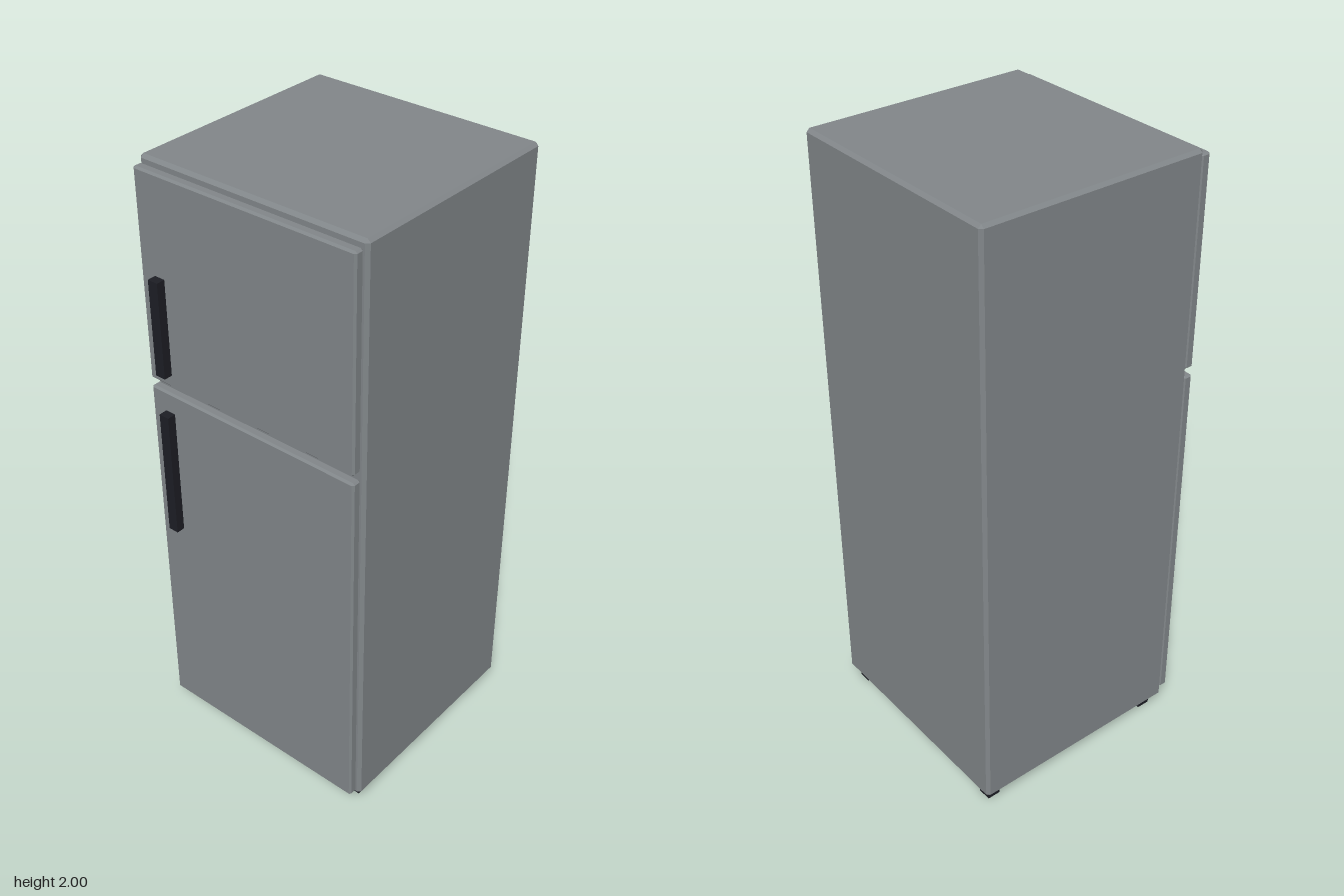
import * as THREE from 'three';
import { ConvexGeometry } from 'three/addons/geometries/ConvexGeometry.js';

// Box with 45 degree bevelled edges: each corner becomes three points
function bevelledBox(w, h, d, b) {
  const pts = [];
  for (const x of [-1, 1]) for (const y of [-1, 1]) for (const z of [-1, 1]) {
    for (let axis = 0; axis < 3; axis++) {
      const inset = [b, b, b];
      inset[axis] = 0;
      pts.push(new THREE.Vector3(
        x * (w / 2 - inset[0]), y * (h / 2 - inset[1]), z * (d / 2 - inset[2])));
    }
  }
  return new ConvexGeometry(pts);
}

export function createModel() {
  const group = new THREE.Group();
  const steel = new THREE.MeshStandardMaterial({ color: 0x82878a });
  steel.name = 'grey steel';
  const black = new THREE.MeshStandardMaterial({ color: 0x1d1e25 });
  black.name = 'black plastic';

  // Adds a box spanning the given ranges, bevelled when b > 0
  function part(name, [x0, x1], [y0, y1], [z0, z1], material, b = 0) {
    const size = [x1 - x0, y1 - y0, z1 - z0];
    const geometry = b ? bevelledBox(...size, b) : new THREE.BoxGeometry(...size);
    const mesh = new THREE.Mesh(geometry, material);
    mesh.name = name;
    mesh.position.set((x0 + x1) / 2, (y0 + y1) / 2, (z0 + z1) / 2);
    group.add(mesh);
  }

  // Cabinet
  part('cabinet', [-0.341, 0.4], [0.04, 2], [-0.388, 0.388], steel, 0.01);

  // Doors on the -x side, with a gap between them
  const doorX = [-0.375, -0.343], doorZ = [-0.378, 0.378];
  part('freezerDoor', doorX, [1.317, 1.98], doorZ, steel, 0.006);
  part('fridgeDoor', doorX, [0.06, 1.292], doorZ, steel, 0.006);

  // Bar handles
  const handleX = [-0.403, -0.374], handleZ = [-0.324, -0.289];
  part('freezerHandle', handleX, [1.36, 1.67], handleZ, black);
  part('fridgeHandle', handleX, [0.8, 1.225], handleZ, black);

  // Four feet
  for (const x of [-0.288, 0.355]) for (const z of [-0.339, 0.339]) {
    part('foot', [x - 0.022, x + 0.022], [0, 0.042], [z - 0.022, z + 0.022], black);
  }
  return group;
}
